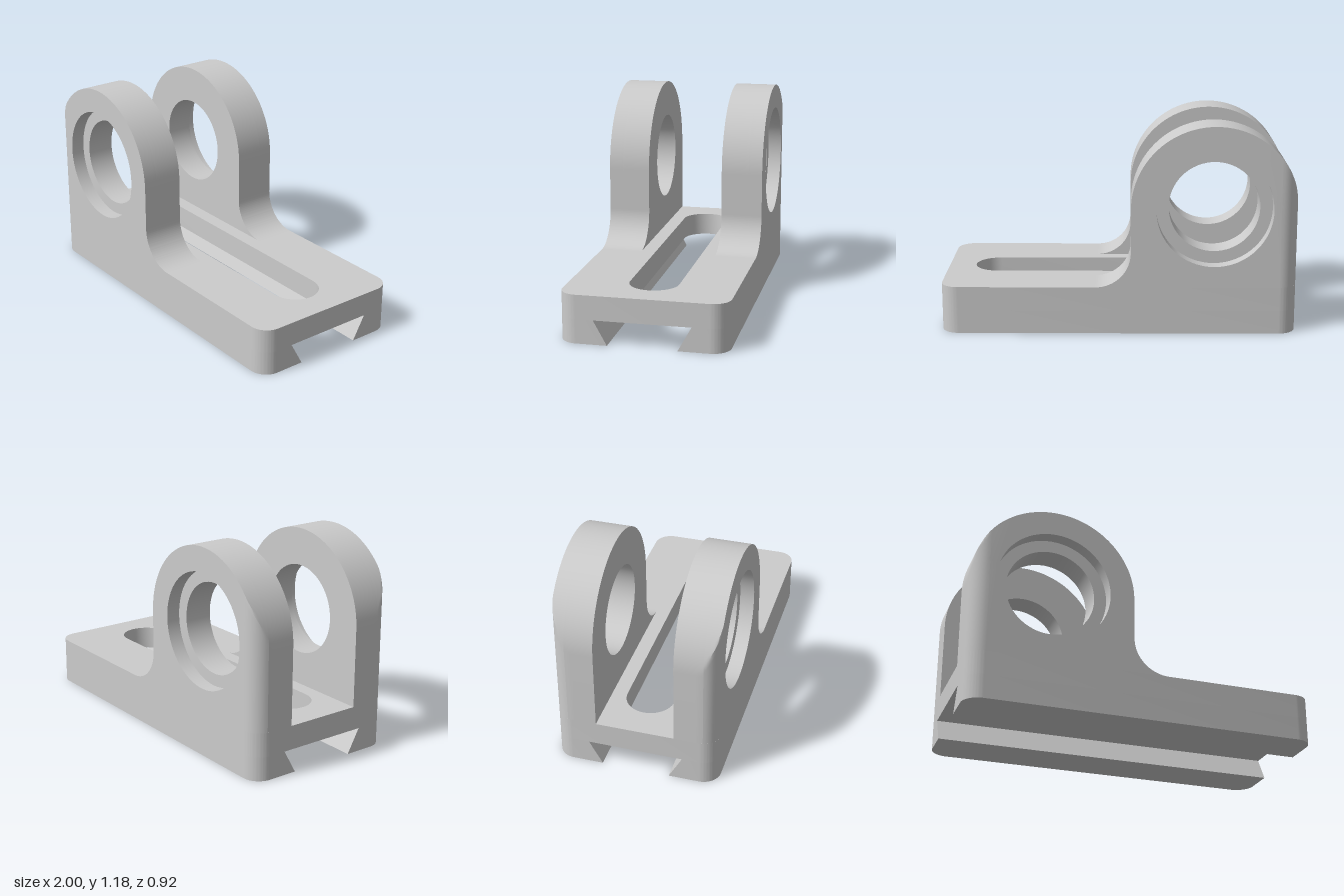
import * as THREE from 'three';
import { toCreasedNormals } from 'three/addons/utils/BufferGeometryUtils.js';

const HALF_L = 1, HALF_W = 0.46, CORNER = 0.1;   // plan of the whole bracket
const GROOVE_H = 0.135, BASE_H = 0.27;           // dovetail ceiling, base top
const LUG_IN = 0.22, SEAT_Z = 0.38;              // lug inner face, counterbore floor
const BORE = { x: -0.535, y: 0.715 }, LUG_R = 0.465;

const material = new THREE.MeshStandardMaterial({ color: 0xcccccc });

function makeMesh(name, geometry) {
  const mesh = new THREE.Mesh(toCreasedNormals(geometry, 0.5), material);
  mesh.name = name;
  return mesh;
}

// Move every vertex of a geometry by a rule
function reshape(geometry, rule) {
  const pos = geometry.attributes.position;
  const v = new THREE.Vector3();
  for (let i = 0; i < pos.count; i++) {
    rule(v.fromBufferAttribute(pos, i));
    pos.setXYZ(i, v.x, v.y, v.z);
  }
  return geometry;
}

// Extrude a plan shape upwards from y0 to y1
function extrudeUp(shape, y0, y1) {
  const geometry = new THREE.ExtrudeGeometry(shape, { depth: y1 - y0, bevelEnabled: false, curveSegments: 12 });
  return geometry.rotateX(-Math.PI / 2).translate(0, y0, 0);
}

// Rounded plate with the long slot
function createPlate() {
  const a = HALF_L - CORNER, b = HALF_W - CORNER, q = Math.PI / 2;
  const plan = new THREE.Shape();
  plan.absarc(a, b, CORNER, 0, q);
  plan.absarc(-a, b, CORNER, q, 2 * q);
  plan.absarc(-a, -b, CORNER, 2 * q, 3 * q);
  plan.absarc(a, -b, CORNER, 3 * q, 4 * q);
  plan.closePath();
  const slot = new THREE.Path(), r = 0.137;
  slot.absarc(0.845 - r, 0, r, -q, q);
  slot.absarc(-0.835 + r, 0, r, q, 3 * q);
  slot.closePath();
  plan.holes.push(slot);
  return makeMesh('slottedPlate', extrudeUp(plan, GROOVE_H, BASE_H));
}

// Rail below the plate, its inner wall leaning to form the dovetail
function createRail() {
  const a = HALF_L - CORNER, b = HALF_W - CORNER, lip = 0.19, root = 0.265;
  const plan = new THREE.Shape();
  plan.moveTo(-HALF_L, lip);
  plan.lineTo(HALF_L, lip);
  plan.absarc(a, b, CORNER, 0, Math.PI / 2);
  plan.absarc(-a, b, CORNER, Math.PI / 2, Math.PI);
  plan.closePath();
  const geometry = reshape(extrudeUp(plan, 0, GROOVE_H), (v) => {
    if (Math.abs(v.z) < 0.3) v.z = -THREE.MathUtils.lerp(lip, root, v.y / GROOVE_H);
  });
  return makeMesh('dovetailRail', geometry);
}

// Lug outline with a round top, a foot fillet and a bore
function lugShape(holeRadius) {
  const right = BORE.x + LUG_R, fillet = 0.2;
  const shape = new THREE.Shape();
  shape.moveTo(-HALF_L, BASE_H);
  shape.lineTo(right + fillet, BASE_H);
  shape.absarc(right + fillet, BASE_H + fillet, fillet, -Math.PI / 2, -Math.PI, true);
  shape.absarc(BORE.x, BORE.y, LUG_R, 0, Math.PI);
  shape.closePath();
  const hole = new THREE.Path();
  hole.absarc(BORE.x, BORE.y, holeRadius, 0, Math.PI * 2);
  shape.holes.push(hole);
  return shape;
}

// Trim a lug slab to the rounded plan corner
function trimCorner(v) {
  const t = THREE.MathUtils.clamp((v.z - (HALF_W - CORNER)) / CORNER, 0, 1);
  v.x = Math.max(v.x, -HALF_L + CORNER - CORNER * Math.sqrt(1 - t * t));
}

function createLug() {
  const lug = new THREE.Group();
  lug.name = 'lug';

  const inner = new THREE.ExtrudeGeometry(lugShape(0.255),
    { depth: SEAT_Z - LUG_IN, steps: 8, bevelEnabled: false, curveSegments: 32 });
  inner.translate(0, 0, LUG_IN);
  lug.add(makeMesh('lugBore', reshape(inner, trimCorner)));

  // Layers follow equal angles round the plan corner
  const start = Math.asin((SEAT_Z - HALF_W + CORNER) / CORNER);
  const outer = new THREE.ExtrudeGeometry(lugShape(0.325),
    { depth: 1, steps: 10, bevelEnabled: false, curveSegments: 32 });
  reshape(outer, (v) => {
    const angle = THREE.MathUtils.lerp(start, Math.PI / 2, v.z);
    v.z = HALF_W - CORNER + CORNER * Math.sin(angle);
    trimCorner(v);
  });
  lug.add(makeMesh('lugCounterbore', outer));
  return lug;
}

export function createModel() {
  const model = new THREE.Group();
  model.name = 'dovetailBracket';
  model.add(createPlate());

  const backRail = createRail();
  const frontRail = backRail.clone();
  frontRail.rotation.y = Math.PI;
  model.add(backRail, frontRail);

  const frontLug = createLug();
  const backLug = frontLug.clone();
  frontLug.name = 'frontLug';
  backLug.name = 'backLug';
  backLug.scale.z = -1;
  model.add(frontLug, backLug);
  return model;
}
